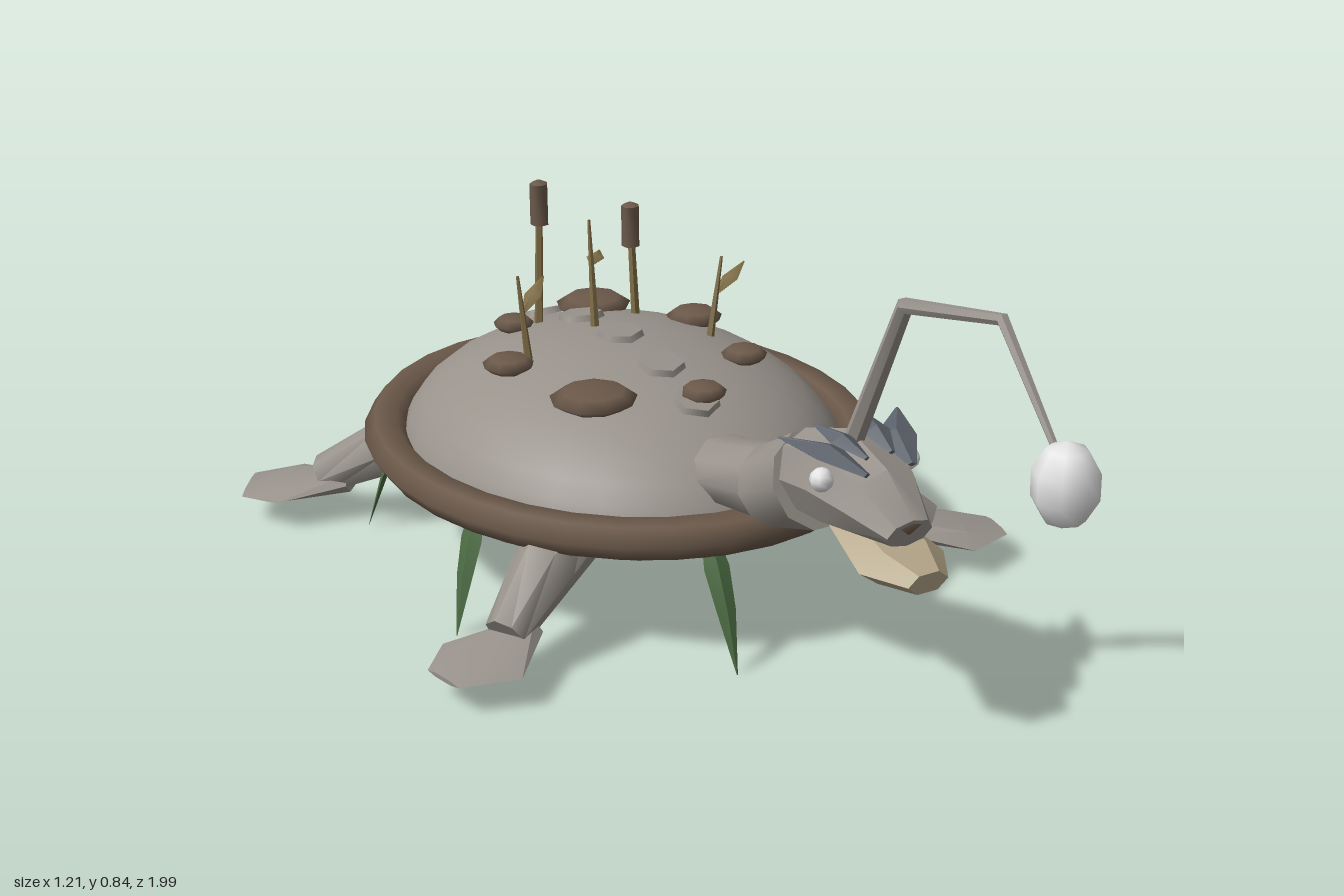
import * as THREE from 'three';
import { toCreasedNormals } from 'three/addons/utils/BufferGeometryUtils.js';

const material = (name, color) => Object.assign(new THREE.MeshStandardMaterial({ color }), { name });

// Closed tube through stations [x, y, z, halfWidth, halfHeight]; side fixes the width axis
function loft(stations, sides, crease = 0.9, side = null) {
  const P = stations.map(s => new THREE.Vector3(s[0], s[1], s[2]));
  const pos = [], index = [], last = P.length - 1;
  P.forEach((p, k) => {
    const t = P[Math.min(k + 1, last)].clone().sub(P[Math.max(k - 1, 0)]).normalize();
    const s = (side ? side.clone() : new THREE.Vector3(0, 1, 0).cross(t));
    s.addScaledVector(t, -s.dot(t)).normalize();
    const n = t.clone().cross(s), w = stations[k][3], h = stations[k][4] ?? w;
    for (let i = 0; i < sides; i++) {
      const a = (i / sides) * Math.PI * 2;
      const v = p.clone().addScaledVector(s, Math.cos(a) * w).addScaledVector(n, Math.sin(a) * h);
      pos.push(v.x, v.y, v.z);
    }
  });
  const c0 = pos.length / 3, c1 = c0 + 1;
  pos.push(...P[0].toArray(), ...P[last].toArray());
  for (let i = 0; i < sides; i++) {
    const j = (i + 1) % sides;
    for (let k = 0; k < last; k++) {
      const a = k * sides, b = a + sides;
      index.push(a + i, a + j, b + i, a + j, b + j, b + i);
    }
    index.push(c0, j, i, c1, last * sides + i, last * sides + j);
  }
  const g = new THREE.BufferGeometry();
  g.setAttribute('position', new THREE.Float32BufferAttribute(pos, 3));
  g.setIndex(index);
  return toCreasedNormals(g, crease);
}

export function createModel() {
  const model = new THREE.Group();
  model.name = 'swampTurtle';
  const skin = material('greySkin', 0x98928b), brown = material('barkBrown', 0x6b594a);
  const cream = material('creamBelly', 0xb3a588), slate = material('slateFin', 0x5c626b);
  const white = material('paleGlow', 0xe4e4e4), green = material('weedGreen', 0x4b6b42);
  const straw = material('dryStem', 0x7d6c45);
  const add = (name, geo, mat, x = 0, y = 0, z = 0) => {
    const m = new THREE.Mesh(geo, mat);
    m.name = name;
    m.position.set(x, y, z);
    model.add(m);
    return m;
  };

  // Shell: dome, rim, underside lip and belly
  const CZ = -0.39, RX = 0.41, RY = 0.235, RZ = 0.49, BASE = 0.2;
  const domeY = (x, z) => BASE + RY * Math.sqrt(Math.max(0, 1 - (x / RX) ** 2 - ((z - CZ) / RZ) ** 2));
  add('shellDome', new THREE.SphereGeometry(1, 28, 10, 0, Math.PI * 2, 0, Math.PI / 2)
    .scale(RX, RY, RZ), skin, 0, BASE, CZ);
  add('shellRim', new THREE.TorusGeometry(0.475, 0.045, 6, 32).rotateX(Math.PI / 2)
    .scale(0.925, 0.8, 1.08), brown, 0, 0.238, CZ);
  add('shellLip', new THREE.CylinderGeometry(1, 0.98, 0.015, 24).scale(0.46, 1, 0.535), skin, 0, 0.208, CZ);
  add('belly', toCreasedNormals(new THREE.CylinderGeometry(1, 0.8, 0.057, 24)
    .scale(0.41, 1, 0.49), 0.5), cream, 0, 0.1735, CZ);

  // Hexagonal plates along the spine, tangent to the dome
  for (const z of [-0.7, -0.545, -0.39, -0.235, -0.11]) {
    const plate = add('spinePlate', new THREE.CylinderGeometry(0.042, 0.046, 0.012, 6).toNonIndexed(), skin,
      0, domeY(0, z) + 0.006, z);
    plate.rotation.x = Math.atan2((z - CZ) / RZ ** 2, (plate.position.y - BASE) / RY ** 2);
  }

  // Flat fungus pads
  for (const [x, z, r] of [[0.08, -0.64, 0.075], [-0.22, -0.43, 0.05], [-0.165, -0.2, 0.082],
    [0.21, -0.465, 0.056], [0.185, -0.24, 0.045], [0.02, -0.12, 0.045], [-0.11, -0.62, 0.04]]) {
    add('fungusPad', new THREE.SphereGeometry(1, 9, 4).scale(r, 0.012 + r * 0.12, r), brown,
      x, domeY(x, z) + 0.012, z);
  }

  // Cattails: base and head position
  for (const [bx, bz, x, y, z] of [[0.115, -0.53, 0.12, 0.59, -0.555], [-0.065, -0.6, -0.046, 0.645, -0.62]]) {
    add('cattailStem', loft([[bx, 0.39, bz, 0.009], [x, y, z, 0.007]], 5), straw);
    add('cattailHead', loft([[x, y - 0.042, z, 0.018], [x, y + 0.04, z, 0.018], [x, y + 0.046, z, 0.006]],
      7, 0.9, new THREE.Vector3(1, 0, 0)), brown);
  }

  // Leafy sprouts: base, top, leaf tip
  for (const [b, t, l] of [
    [[-0.18, 0.39, -0.42], [-0.19, 0.575, -0.44], [-0.115, 0.55, -0.48]],
    [[0.175, 0.38, -0.355], [0.218, 0.56, -0.375], [0.285, 0.53, -0.4]],
    [[-0.01, 0.42, -0.47], [0, 0.635, -0.505], [0.035, 0.56, -0.53]]]) {
    const at = b.map((v, i) => v + (t[i] - v) * 0.6), mid = at.map((v, i) => (v + l[i]) / 2);
    add('sproutStem', loft([[...b, 0.009], [...t, 0.003]], 5), straw);
    add('sproutLeaf', loft([[...at, 0.003], [...mid, 0.018, 0.007], [...l, 0.002]], 4), straw);
  }

  // Neck and collar
  add('neck', loft([[0, 0.27, -0.16, 0.11, 0.07], [0, 0.305, 0.02, 0.085, 0.06],
    [0, 0.335, 0.17, 0.078, 0.073]], 10), skin);
  add('collar', loft([[0, 0.332, 0.16, 0.08, 0.075], [0, 0.39, 0.285, 0.088, 0.09]], 10), skin);

  // Head, jaw and nose
  add('head', loft([[0, 0.4, 0.27, 0.07, 0.075], [0, 0.43, 0.39, 0.093, 0.088],
    [0, 0.42, 0.48, 0.077, 0.065], [0, 0.395, 0.56, 0.045, 0.027]], 8, 0.6), skin);
  add('jaw', loft([[0, 0.37, 0.41, 0.06, 0.03], [0, 0.335, 0.54, 0.085, 0.037],
    [0, 0.328, 0.615, 0.04, 0.02]], 6, 0.4), cream);
  add('nose', new THREE.SphereGeometry(1, 8, 4).scale(0.052, 0.022, 0.035), brown, 0, 0.408, 0.535);

  // Lure: bent rod and pale bulb
  add('lureRod', loft([[0, 0.49, 0.39, 0.018], [0, 0.78, 0.53, 0.015], [0, 0.835, 0.78, 0.011],
    [0, 0.66, 0.93, 0.006]], 6), skin);
  add('lureBulb', new THREE.SphereGeometry(1, 8, 5).scale(0.055, 0.07, 0.055), white, 0, 0.627, 0.945);

  for (const s of [1, -1]) {
    // Eyes and brow fins
    add('eye', new THREE.SphereGeometry(0.021, 8, 6), white, s * 0.087, 0.462, 0.43);
    add('browFin', loft([[s * 0.045, 0.485, 0.5, 0.008, 0.004], [s * 0.068, 0.503, 0.42, 0.036, 0.014],
      [s * 0.12, 0.517, 0.35, 0.003, 0.002]], 4, 0.2), slate);
    add('crestFin', loft([[s * 0.025, 0.5, 0.47, 0.006, 0.004], [s * 0.035, 0.515, 0.41, 0.025, 0.012],
      [s * 0.05, 0.525, 0.35, 0.003, 0.002]], 4, 0.2), slate);

    // Legs and flippers
    add('frontLeg', loft([[s * 0.25, 0.22, -0.11, 0.07], [s * 0.34, 0.165, -0.07, 0.062],
      [s * 0.455, 0.085, -0.01, 0.04]], 7), skin);
    add('frontFlipper', loft([[s * 0.4, 0.078, -0.03, 0.035, 0.022], [s * 0.515, 0.06, 0.015, 0.1, 0.02],
      [s * 0.598, 0.055, 0.03, 0.045, 0.005]], 6, 0.4), skin);
    add('backLeg', loft([[s * 0.24, 0.22, -0.62, 0.07], [s * 0.33, 0.16, -0.73, 0.06],
      [s * 0.44, 0.085, -0.83, 0.04]], 7), skin);
    add('backFlipper', loft([[s * 0.4, 0.078, -0.79, 0.035, 0.022], [s * 0.495, 0.06, -0.875, 0.1, 0.02],
      [s * 0.565, 0.055, -0.925, 0.06, 0.005]], 6, 0.4), skin);
  }

  // Weeds hanging under the rim: base x, z and tip x, z
  for (const [bx, bz, x, z] of [[-0.1, 0.1, -0.105, 0.2], [0.3, -0.06, 0.348, 0.03], [0.37, -0.64, 0.43, -0.735],
    [0.03, -0.88, 0.035, -0.99], [-0.33, -0.66, -0.392, -0.73], [-0.4, -0.22, -0.46, -0.2]]) {
    const at = (f, y, w) => [bx + (x - bx) * f, y, bz + (z - bz) * f, w, w * 0.35];
    add('hangingWeed', loft([at(0, 0.225, 0.016), at(0.25, 0.18, 0.024), at(0.6, 0.11, 0.018),
      at(1, 0.001, 0.001)], 4, 0.4, new THREE.Vector3(bz - CZ, 0, -bx)), green);
  }
  return model;
}
